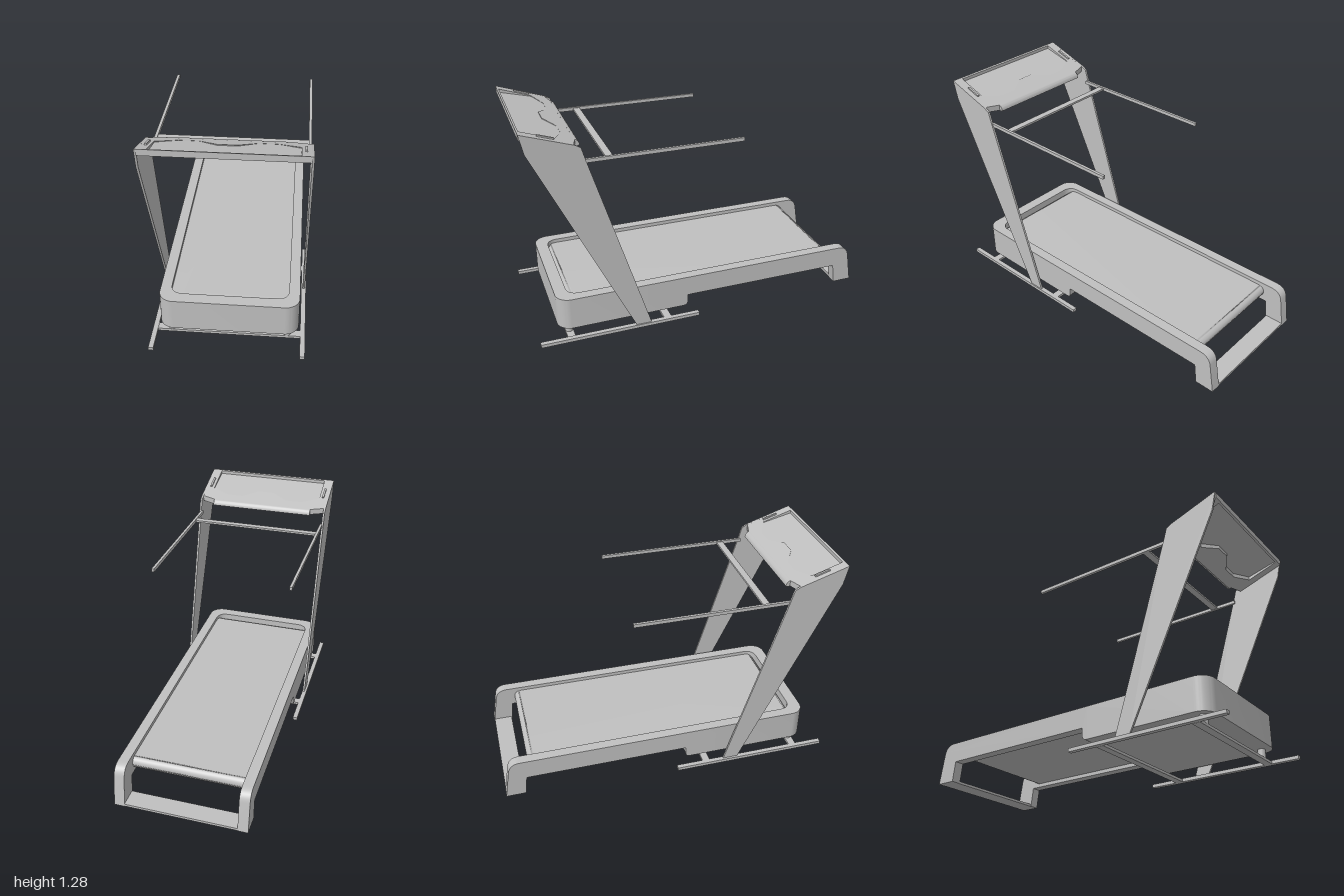
import * as THREE from 'three';
import { mergeVertices, toCreasedNormals } from 'three/addons/utils/BufferGeometryUtils.js';

const CX = 0.005; // the machine's middle line

export function createModel() {
  const root = new THREE.Group();
  root.name = 'treadmill';
  const grey = new THREE.MeshStandardMaterial({ color: 0xc0c0c0 });
  grey.name = 'light grey';

  const add = (name, geo) => {
    const mesh = new THREE.Mesh(geo, grey);
    mesh.name = name;
    root.add(mesh);
    return mesh;
  };
  const box = (name, w, h, d, x, y, z) =>
    add(name, new THREE.BoxGeometry(w, h, d)).position.set(x, y, z);
  const poly = (pts) => new THREE.Shape(pts.map(([a, b]) => new THREE.Vector2(a, b)));

  // Shape drawn in (z, y), extruded across x and centred on x
  const across = (shape, width, x) => {
    const geo = new THREE.ExtrudeGeometry(shape, { depth: width, bevelEnabled: false, curveSegments: 8 });
    geo.rotateY(-Math.PI / 2).translate(x + width / 2, 0, 0);
    return toCreasedNormals(geo, 0.6);
  };
  // Shape drawn in (x, z), extruded down from y = top
  const plan = (shape, height, top) => {
    const geo = new THREE.ExtrudeGeometry(shape, { depth: height, bevelEnabled: false, curveSegments: 8 });
    geo.rotateX(Math.PI / 2).translate(CX, top, 0);
    return geo;
  };

  // Front hood: a U-shaped wall with rounded front corners
  const hood = new THREE.Shape();
  hood.moveTo(-0.385, 0.13);
  hood.lineTo(-0.325, 0.13);
  hood.lineTo(-0.325, 0.73);
  hood.quadraticCurveTo(-0.325, 0.8, -0.255, 0.8);
  hood.lineTo(0.255, 0.8);
  hood.quadraticCurveTo(0.325, 0.8, 0.325, 0.73);
  hood.lineTo(0.325, 0.13);
  hood.lineTo(0.385, 0.13);
  hood.lineTo(0.385, 0.79);
  hood.absarc(0.305, 0.79, 0.08, 0, Math.PI / 2, false);
  hood.lineTo(-0.305, 0.87);
  hood.absarc(-0.305, 0.79, 0.08, Math.PI / 2, Math.PI, false);
  add('hood', toCreasedNormals(plan(hood, 0.19, 0.26), 0.6));

  // Hood floor with a rounded rear edge
  const floor = new THREE.Shape();
  floor.moveTo(0.82, 0.07);
  floor.lineTo(0.82, 0.14);
  floor.lineTo(0.1, 0.14);
  floor.lineTo(0.1, 0.1);
  floor.quadraticCurveTo(0.1, 0.07, 0.13, 0.07);
  add('hoodFloor', across(floor, 0.65, CX));

  // Side rails ending in the rear legs
  const rail = new THREE.Shape();
  rail.moveTo(0.13, 0.07);
  rail.lineTo(0.13, 0.26);
  rail.lineTo(-0.9, 0.26);
  rail.quadraticCurveTo(-0.96, 0.26, -0.97, 0.2);
  rail.lineTo(-1, 0.02);
  rail.lineTo(-0.885, 0.02);
  rail.lineTo(-0.87, 0.14);
  rail.lineTo(0.1, 0.14);
  rail.lineTo(0.1, 0.1);
  rail.quadraticCurveTo(0.1, 0.07, 0.13, 0.07);
  for (const s of [-1, 1]) add('sideRail', across(rail, 0.06, CX + s * 0.355));
  box('rearCrossbar', 0.65, 0.015, 0.11, CX, 0.0275, -0.943);

  // Running belt: a closed loop with softly shaded edges
  const loop = new THREE.Shape();
  loop.absarc(0.76, 0.2, 0.037, -Math.PI / 2, Math.PI / 2, false);
  loop.absarc(-0.813, 0.2, 0.037, Math.PI / 2, Math.PI * 1.5, false);
  const belt = across(loop, 0.65, CX);
  belt.deleteAttribute('uv');
  belt.deleteAttribute('normal');
  const smoothBelt = mergeVertices(belt, 1e-4);
  smoothBelt.computeVertexNormals();
  add('belt', smoothBelt);

  // Base frame and the feet under the hood
  for (const s of [-1, 1]) {
    box('baseRail', 0.028, 0.02, 0.945, CX + s * 0.411 - 0.003, 0.015, 0.5125);
    const foot = add('foot', new THREE.CylinderGeometry(0.022, 0.022, 0.06, 20));
    foot.position.set(CX + s * 0.32, 0.045, 0.805);
  }
  for (const z of [0.23, 0.805]) box('baseCrossbar', 0.8, 0.016, 0.045, CX, 0.012, z);

  // Slanted posts that widen upward into the console's cheeks
  const post = poly([[0.425, 0.02], [0.976, 1.17], [1, 1.28], [0.72, 1.188],
    [0.69, 1.17], [0.67, 1.1], [0.335, 0.02]]);
  // Handrails
  for (const s of [-1, 1]) {
    add('post', across(post, 0.012, CX + s * 0.409));
    box('handrail', 0.016, 0.02, 0.9, CX + s * 0.4, 1.091, 0.23);
  }
  box('handrailCrossbar', 0.8, 0.012, 0.04, CX, 1.09, 0.54);

  // Console: tilted slab with a wavy-backed recess
  const tilt = (geo, slope, z0, y0) => {
    const p = geo.attributes.position;
    for (let i = 0; i < p.count; i++) p.setY(i, p.getY(i) + y0 + slope * (p.getZ(i) - z0));
    geo.computeVertexNormals();
    return geo;
  };
  const wave = [[-0.355, 0.988], [-0.355, 0.81], [-0.245, 0.76], [-0.145, 0.76], [-0.05, 0.82],
    [0.05, 0.82], [0.145, 0.76], [0.245, 0.76], [0.355, 0.81], [0.355, 0.988]];
  const slab = poly([[-0.405, 1], [-0.405, 0.725], [-0.315, 0.7], [0.315, 0.7], [0.405, 0.725], [0.405, 1]]);
  slab.holes.push(poly(wave));
  add('console', tilt(plan(slab, 0.034, 0), 0.33, 1, 1.28));
  add('consolePanel', tilt(plan(poly(wave), 0.008, 0), 0.25, 0.76, 1.2));

  // Rolled rear edge of the console, narrowing at the corners
  const lip = new THREE.Shape();
  lip.moveTo(0.705, 1.183);
  lip.quadraticCurveTo(0.68, 1.178, 0.677, 1.15);
  lip.lineTo(0.69, 1.145);
  lip.lineTo(0.705, 1.149);
  add('consoleLip', across(lip, 0.64, CX));
  // Small raised grips beside the recess
  for (const s of [-1, 1]) {
    const grip = add('consoleGrip', new THREE.BoxGeometry(0.012, 0.008, 0.09));
    grip.position.set(CX + s * 0.378, 1.239, 0.86);
    grip.rotation.x = -0.32;
  }
  return root;
}
